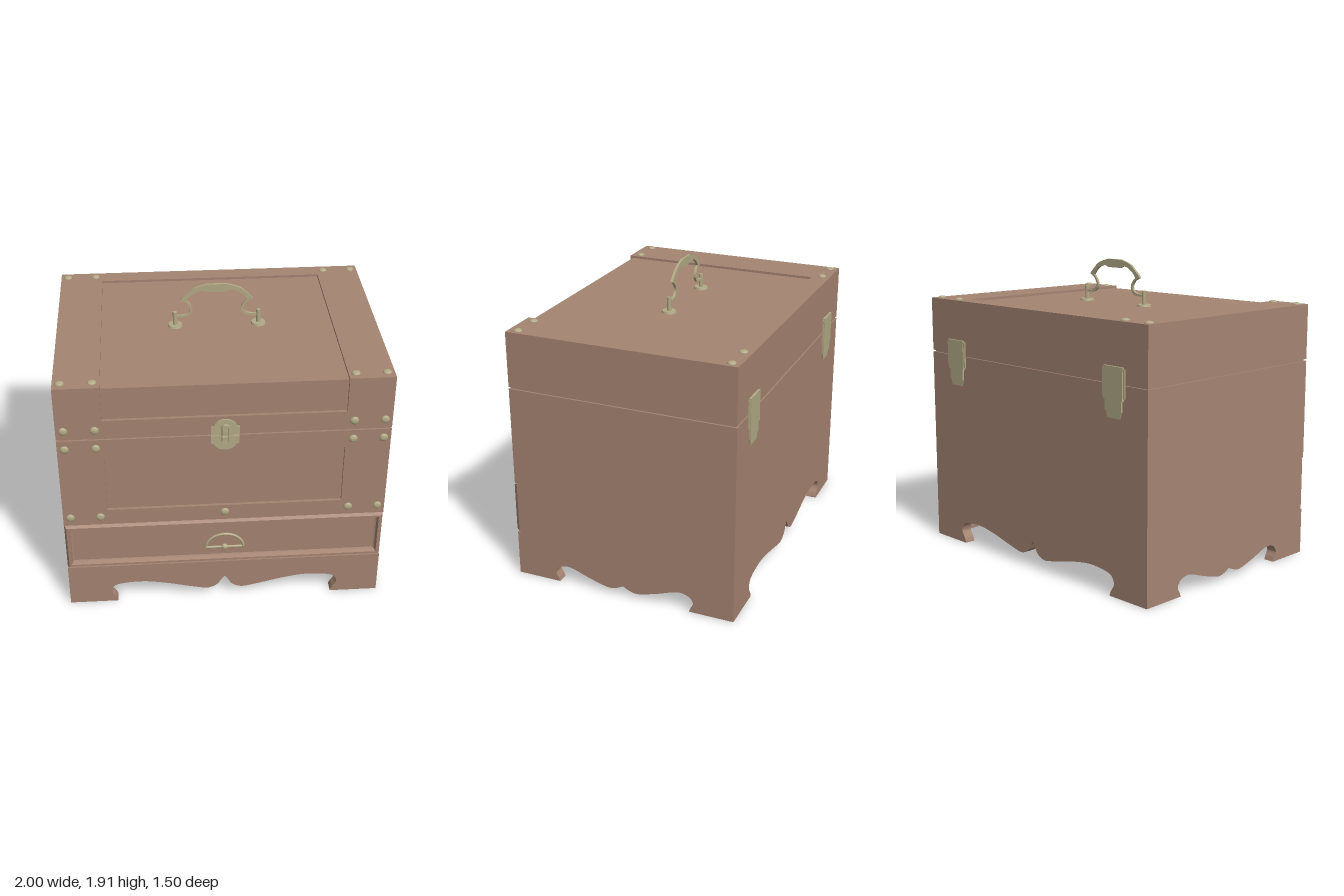
import * as THREE from 'three';
import { toCreasedNormals } from 'three/addons/utils/BufferGeometryUtils.js';

const wood = new THREE.MeshStandardMaterial({ color: 0xa58472 });
wood.name = 'brown wood';
const brass = new THREE.MeshStandardMaterial({ color: 0xb2aa86 });
brass.name = 'pale brass';

const FRONT = 0.722, BACK = -0.736, MID = (FRONT + BACK) / 2;

export function createModel() {
  const root = new THREE.Group();
  root.name = 'woodenChest';

  function add(name, geo, mat, x = 0, y = 0, z = 0, parent = root) {
    const m = new THREE.Mesh(geo, mat);
    m.name = name;
    m.position.set(x, y, z);
    parent.add(m);
    return m;
  }
  // Box given by its limits
  function block(name, mat, x0, x1, y0, y1, z0, z1, parent = root) {
    return add(name, new THREE.BoxGeometry(x1 - x0, y1 - y0, z1 - z0), mat,
      (x0 + x1) / 2, (y0 + y1) / 2, (z0 + z1) / 2, parent);
  }
  const plate = (shape, depth, curveSegments = 12) => toCreasedNormals(
    new THREE.ExtrudeGeometry(shape, { depth, bevelEnabled: false, curveSegments }), 0.6);
  const vecs = pts => pts.map(p => new THREE.Vector2(p[0], p[1]));

  // Skirt walls with a scalloped lower edge; half profile runs from foot to centre
  function skirt(halfWidth, half, depth, height) {
    const s = new THREE.Shape();
    const right = vecs(half);
    const left = vecs(half.map(p => [-p[0], p[1]])).reverse();
    s.moveTo(-halfWidth, 0);
    s.lineTo(left[left.length - 1].x, 0);
    s.splineThru(left.slice(0, -1).reverse());
    s.splineThru(right.slice(0, -1).reverse());
    s.lineTo(right[0].x, 0);
    s.lineTo(halfWidth, 0);
    s.lineTo(halfWidth, height);
    s.lineTo(-halfWidth, height);
    return plate(s, depth, 30);
  }
  const T = 0.07, skirtTop = 0.295;
  const longEdge = [[0.695, 0], [0.705, 0.03], [0.732, 0.085], [0.69, 0.138], [0.54, 0.155], [0.39, 0.135],
    [0.2, 0.09], [0.11, 0.075], [0.05, 0.1], [0.02, 0.145], [0, 0.17]];
  const shortEdge = [[0.44, 0], [0.45, 0.025], [0.467, 0.065], [0.435, 0.107], [0.36, 0.117], [0.235, 0.075],
    [0.11, 0.04], [0.05, 0.046], [0, 0.07]];
  // The spline keeps a sharp centre because each half is a separate curve
  longEdge.splice(1, 0, [0.695, 0.004]);
  const longSkirt = skirt(1, longEdge, T, skirtTop);
  add('frontSkirt', longSkirt, wood, 0, 0, FRONT - T);
  add('backSkirt', longSkirt, wood, 0, 0, BACK);
  const shortSkirt = skirt((FRONT - BACK) / 2 - T, shortEdge, T, skirtTop);
  add('leftSkirt', shortSkirt, wood, 1 - T, 0, MID).rotation.y = Math.PI / 2;
  add('rightSkirt', shortSkirt, wood, -1, 0, MID).rotation.y = Math.PI / 2;
  block('floor', wood, -0.95, 0.95, 0.22, 0.3, BACK + 0.04, FRONT - 0.04);

  // Drawer case and main case
  block('drawerCase', wood, -1, 1, 0.295, 0.64, BACK, 0.7);
  block('caseCore', wood, -1, 1, 0.64, 1.275, BACK, 0.704);
  const frame = new THREE.Shape(vecs([[-1, 0.64], [1, 0.64], [1, 1.275], [-1, 1.275]]));
  frame.holes.push(new THREE.Path(vecs([[-0.725, 0.75], [-0.725, 1.155], [0.725, 1.155], [0.725, 0.75]])));
  add('caseFrontFrame', plate(frame, FRONT - 0.704), wood, 0, 0, 0.704);

  // Drawer front: nested rectangles [inset, z] forming a raised moulding
  const loops = [[0, 0.69], [0, 0.71], [0.014, 0.733], [0.028, 0.733], [0.036, 0.71], [0.046, 0.705]];
  const pos = [], idx = [];
  for (const [i, z] of loops) {
    const x = 1 - i, y0 = 0.3 + i, y1 = 0.636 - i;
    pos.push(-x, y0, z, x, y0, z, x, y1, z, -x, y1, z);
  }
  for (let l = 0; l < loops.length - 1; l++) {
    for (let k = 0; k < 4; k++) {
      const a = l * 4 + k, b = l * 4 + (k + 1) % 4;
      idx.push(a, b, b + 4, a, b + 4, a + 4);
    }
  }
  const e = (loops.length - 1) * 4;
  idx.push(e, e + 1, e + 2, e, e + 2, e + 3);
  let drawer = new THREE.BufferGeometry();
  drawer.setAttribute('position', new THREE.Float32BufferAttribute(pos, 3));
  drawer.setIndex(idx);
  drawer = drawer.toNonIndexed();
  drawer.computeVertexNormals();
  add('drawerFront', drawer, wood);

  // Drawer pull: half ring, bar and knob
  const pull = new THREE.Group();
  pull.name = 'drawerPull';
  pull.position.set(0, 0.413, 0.718);
  root.add(pull);
  const arc = new THREE.TorusGeometry(0.118, 0.009, 8, 32, Math.PI);
  arc.scale(1, 0.87, 1);
  add('pullArc', arc, brass, 0, 0, 0, pull);
  add('pullBar', new THREE.CylinderGeometry(0.008, 0.008, 0.25, 8).rotateZ(Math.PI / 2), brass, 0, 0, 0, pull);
  add('pullKnob', new THREE.SphereGeometry(0.021, 16, 10).scale(1, 1, 0.8), brass, 0, 0, 0, pull);

  // Seam and lid, with a panel sunk into the top and front
  const L0 = 1.287, L1 = 1.638, P = 0.725;
  block('seam', wood, -0.988, 0.988, 1.27, 1.29, BACK + 0.012, FRONT - 0.012);
  block('lidPanel', wood, -P, P, L0, 1.622, BACK, 0.704);
  for (const s of [-1, 1]) {
    block('lidEndStrip', wood, Math.min(s * P, s), Math.max(s * P, s), L0, L1, BACK, FRONT);
  }
  block('lidBackStrip', wood, -P, P, 1.6, L1, BACK, -0.62);
  block('lidFrontStrip', wood, -P, P, L0, 1.41, 0.68, FRONT);

  // Domed studs on the front and the lid
  const stud = new THREE.SphereGeometry(0.027, 14, 5, 0, Math.PI * 2, 0, Math.PI / 2).scale(1, 0.5, 1);
  const frontStud = (x, y) => { add('frontStud', stud, brass, x, y, FRONT).rotation.x = Math.PI / 2; };
  for (const x of [-0.955, -0.77, 0.77, 0.955]) {
    for (const y of [0.7, 1.215, 1.345]) frontStud(x, y);
    for (const z of [-0.682, 0.66]) add('lidStud', stud, brass, x, L1, z);
  }
  frontStud(0, 0.7);

  // Latch: shaped plates above and below the seam, with a capsule catch
  const latch = new THREE.Group();
  latch.name = 'latch';
  root.add(latch);
  const mirrored = half => new THREE.Shape(vecs([...half, ...half.map(p => [-p[0], p[1]]).reverse()]));
  add('latchUpperPlate', plate(mirrored([[0.085, 1.284], [0.085, 1.34], [0.069, 1.347], [0.06, 1.367],
    [0.035, 1.386], [0.012, 1.392]]), 0.012), brass, 0, 0, FRONT, latch);
  add('latchLowerPlate', plate(mirrored([[0.012, 1.18], [0.035, 1.185], [0.055, 1.2], [0.068, 1.22],
    [0.085, 1.227], [0.085, 1.279]]), 0.012), brass, 0, 0, FRONT, latch);
  const capsule = (path, r, h) => path.absarc(0, h, r, 0, Math.PI).absarc(0, -h, r, Math.PI, Math.PI * 2).closePath();
  const ring = capsule(new THREE.Shape(), 0.026, 0.042);
  ring.holes.push(capsule(new THREE.Path(), 0.019, 0.042));
  add('latchRing', plate(ring, 0.02), brass, 0, 1.295, FRONT + 0.01, latch);
  block('latchCatch', brass, -0.017, 0.017, 1.288, 1.352, FRONT, 0.75, latch);
  block('latchStaple', brass, -0.017, 0.017, 1.232, 1.28, FRONT, 0.75, latch);

  // Hinges on the back
  for (const x of [-0.735, 0.735]) {
    const hinge = new THREE.Group();
    hinge.name = 'hinge';
    hinge.position.x = x;
    root.add(hinge);
    block('hingeUpperLeaf', brass, -0.09, 0.09, 1.2, 1.37, -0.745, BACK, hinge);
    block('hingeRaisedLeaf', brass, -0.078, 0.078, 1.185, 1.38, -0.75, BACK, hinge);
    block('hingeMiddleLeaf', brass, -0.066, 0.066, 1.12, 1.19, -0.748, BACK, hinge);
    add('hingeTail', plate(new THREE.Shape(vecs([[-0.05, 1.078], [0.05, 1.078], [0.066, 1.125], [-0.066, 1.125]])),
      0.007), brass, 0, 0, BACK - 0.007, hinge);
  }

  // Carrying handle: posts on discs and a flat curled bail
  const handle = new THREE.Group();
  handle.name = 'carryingHandle';
  handle.position.z = -0.007;
  root.add(handle);
  for (const x of [-0.262, 0.262]) {
    add('handleDisc', new THREE.CylinderGeometry(0.043, 0.047, 0.014, 24), brass, x, 1.628, 0, handle);
    add('handlePost', new THREE.CylinderGeometry(0.014, 0.014, 0.1, 14), brass, x, 1.67, 0, handle);
  }
  const outer = [[0.06, 1.906], [0.14, 1.88], [0.19, 1.84], [0.225, 1.803]];
  const curlOut = [[0.19, 1.782], [0.17, 1.755], [0.168, 1.73], [0.185, 1.708], [0.215, 1.697], [0.255, 1.697]];
  const curlIn = [[0.215, 1.682], [0.178, 1.692], [0.155, 1.718], [0.153, 1.748], [0.17, 1.778], [0.188, 1.8]];
  const inner = [[0.165, 1.83], [0.125, 1.856], [0.085, 1.866]];
  const bail = new THREE.Shape();
  const flip = pts => vecs(pts.map(p => [-p[0], p[1]]).reverse());
  bail.moveTo(-0.06, 1.906);
  bail.lineTo(0.06, 1.906);
  bail.splineThru(vecs(outer.slice(1)));
  bail.splineThru(vecs(curlOut));
  bail.lineTo(0.255, 1.682);
  bail.splineThru(vecs(curlIn));
  bail.splineThru(vecs(inner));
  bail.lineTo(0.055, 1.853);
  bail.lineTo(-0.055, 1.853);
  bail.lineTo(-0.085, 1.866);
  bail.splineThru(flip(inner).slice(1));
  bail.splineThru(flip(curlIn));
  bail.lineTo(-0.255, 1.682);
  bail.lineTo(-0.255, 1.697);
  bail.splineThru(flip(curlOut).slice(1));
  bail.splineThru(flip(outer));
  add('handleBail', plate(bail, 0.016, 8), brass, 0, 0, -0.008, handle);

  return root;
}
